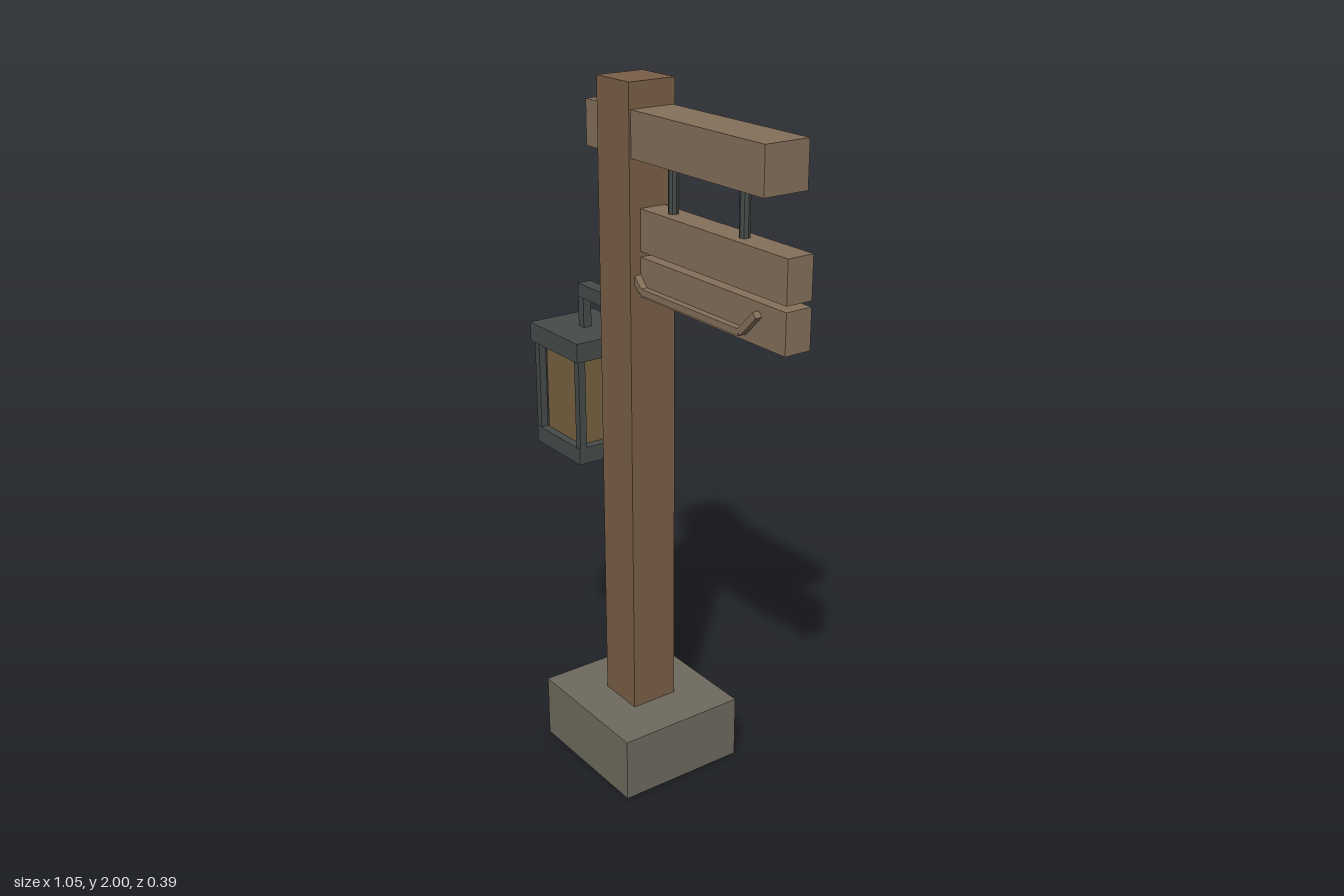
import * as THREE from 'three';

const mat = (color) => new THREE.MeshStandardMaterial({ color, flatShading: true });

export function createModel() {
  const model = new THREE.Group();
  const stone = mat(0x6e6a5e);
  const timber = mat(0x7a5f47);
  const plank = mat(0x84705a);
  const iron = mat(0x464b4a);
  const glass = mat(0x776240);

  // Box given by its extents on x and y, its depth on z and its z centre
  function box(name, material, x0, x1, y0, y1, depth, z = 0, parent = model) {
    const mesh = new THREE.Mesh(new THREE.BoxGeometry(x1 - x0, y1 - y0, depth), material);
    mesh.position.set((x0 + x1) / 2, (y0 + y1) / 2, z);
    mesh.name = name;
    parent.add(mesh);
    return mesh;
  }

  // Post on its stone footing, with the cross beam through the top
  box('footing', stone, -0.35, 0.075, 0, 0.19, 0.39);
  box('post', timber, -0.209, -0.065, 0.19, 2, 0.143);
  box('crossBeam', plank, -0.27, 0.463, 1.81, 1.932, 0.132);

  // Hanging sign boards
  box('upperBoard', plank, -0.08, 0.522, 1.565, 1.678, 0.077);
  box('lowerBoard', plank, -0.08, 0.522, 1.442, 1.55, 0.077);
  for (const x of [0.026, 0.315]) {
    const rod = new THREE.Mesh(new THREE.CylinderGeometry(0.014, 0.014, 0.14, 8), iron);
    rod.position.set(x, 1.745, 0);
    rod.name = 'hangerRod';
    model.add(rod);
  }

  // Raised strip on the lower board, turned up at both ends
  const strip = new THREE.Group();
  strip.name = 'boardTrim';
  model.add(strip);
  const path = [[-0.1, 1.525], [-0.04, 1.465], [0.37, 1.465], [0.428, 1.523]];
  for (let i = 0; i < path.length - 1; i++) {
    const [ax, ay] = path[i], [bx, by] = path[i + 1];
    const half = Math.hypot(bx - ax, by - ay) / 2;
    const bar = box('trimBar', plank, -half, half, -0.009, 0.009, 0.022, 0.047, strip);
    bar.position.x = (ax + bx) / 2;
    bar.position.y = (ay + by) / 2;
    bar.rotation.z = Math.atan2(by - ay, bx - ax);
  }

  // Lantern bracket
  box('bracketArm', iron, -0.4, -0.2, 1.357, 1.397, 0.042);
  box('bracketDrop', iron, -0.413, -0.387, 1.26, 1.38, 0.026);

  // Lantern: cap, tray, corner bars and glowing core
  const lantern = new THREE.Group();
  lantern.name = 'lantern';
  lantern.position.x = -0.399;
  model.add(lantern);
  box('lanternCap', iron, -0.124, 0.124, 1.21, 1.266, 0.218, 0, lantern);
  box('lanternTray', iron, -0.115, 0.115, 0.898, 0.947, 0.204, 0, lantern);
  box('lanternCore', glass, -0.088, 0.088, 0.94, 1.215, 0.156, 0, lantern);
  for (const sx of [-1, 1]) {
    for (const sz of [-1, 1]) {
      box('cornerBar', iron, sx * 0.105 - 0.011, sx * 0.105 + 0.011, 0.94, 1.215, 0.022, sz * 0.089, lantern);
    }
  }
  return model;
}
